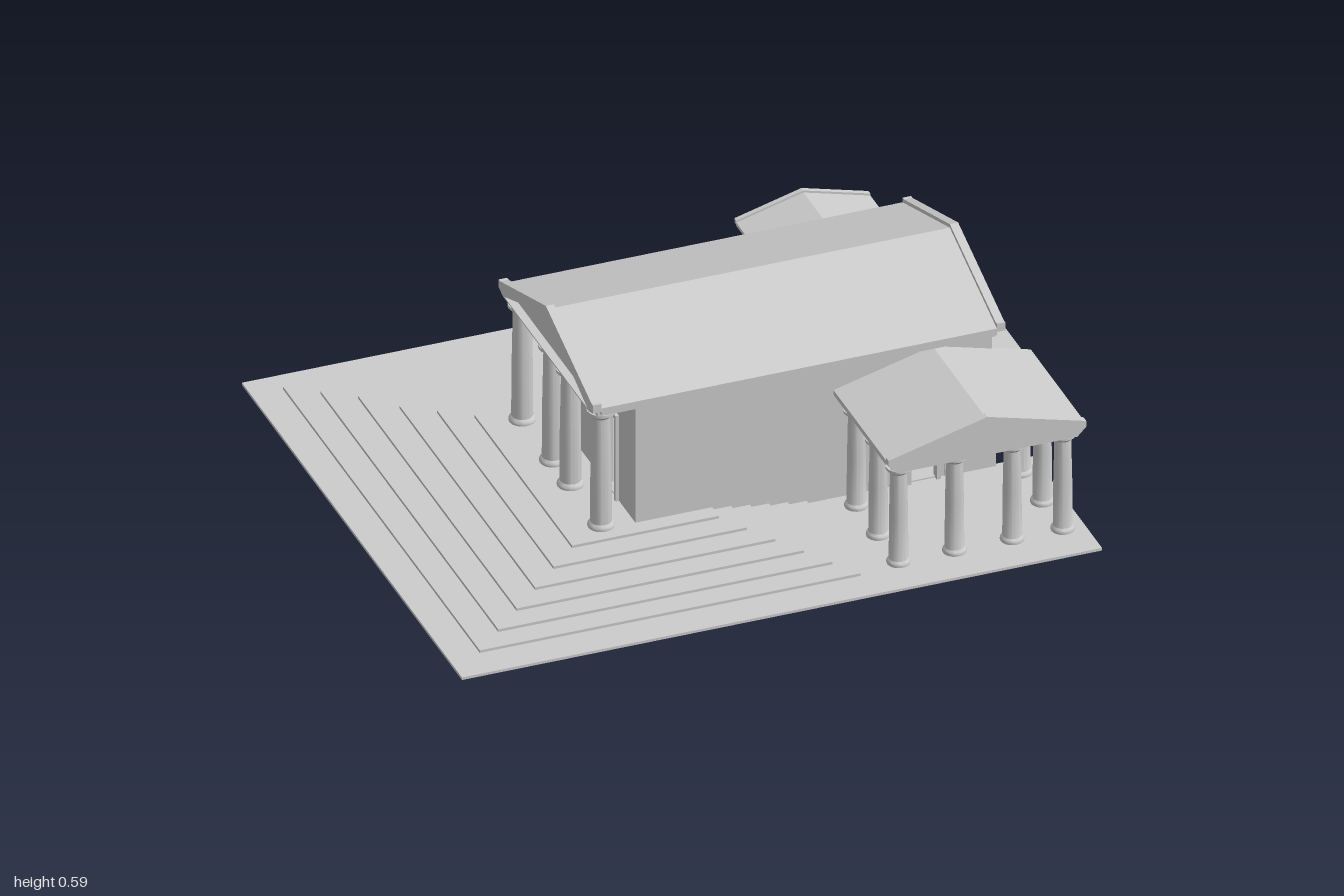
import * as THREE from 'three';
import { toCreasedNormals } from 'three/addons/utils/BufferGeometryUtils.js';

const stone = new THREE.MeshStandardMaterial({ color: 0xcccccc });

function add(parent, name, geometry, x = 0, y = 0, z = 0) {
  const mesh = new THREE.Mesh(geometry, stone);
  mesh.name = name;
  mesh.position.set(x, y, z);
  parent.add(mesh);
  return mesh;
}

// Box given by its lowest and highest corner
function box(parent, name, x0, x1, y0, y1, z0, z1) {
  return add(parent, name, new THREE.BoxGeometry(x1 - x0, y1 - y0, z1 - z0),
    (x0 + x1) / 2, (y0 + y1) / 2, (z0 + z1) / 2);
}

function polygon(points, holes = []) {
  const toVectors = (list) => list.map(([x, y]) => new THREE.Vector2(x, y));
  const shape = new THREE.Shape(toVectors(points));
  for (const hole of holes) shape.holes.push(new THREE.Path(toVectors(hole)));
  return shape;
}

const extrude = (shape, depth) => new THREE.ExtrudeGeometry(shape, { depth, bevelEnabled: false });
const rect = (x0, x1, y0, y1) => [[x0, y0], [x1, y0], [x1, y1], [x0, y1]];

// Horizontal slab from an outline in (x, z)
function slab(parent, name, outline, y, height) {
  const shape = polygon(outline.map(([x, z]) => [x, -z]));
  return add(parent, name, extrude(shape, height).rotateX(-Math.PI / 2), 0, y, 0);
}

// Column with moulded base, tapering shaft and spreading capital
function columnGeometry(h, r) {
  const top = h / r;
  const points = [
    [0, 0], [1.25, 0], [1.28, 0.2], [1.2, 0.4], [1.02, 0.6],
    [0.98, top * 0.5], [0.87, top - 0.75], [1, top - 0.6], [1.35, top - 0.3], [1.35, top], [0, top],
  ].map(([x, y]) => new THREE.Vector2(x * r, y * r));
  return toCreasedNormals(new THREE.LatheGeometry(points, 20), 0.6);
}

function colonnade(parent, name, positions, y, h, r) {
  const group = new THREE.Group();
  group.name = name;
  const geometry = columnGeometry(h, r);
  for (const [x, z] of positions) add(group, 'column', geometry, x, y, z);
  parent.add(group);
}

// Entablature and pitched roof, ridge along local z. A gable closes z1, and z0 too if both is set;
// an open gable is a raking frame around a recessed pediment, a plain one is solid.
function roof(parent, name, { half, z0, z1, band, eave, rise, rim, both, plain }) {
  const group = new THREE.Group();
  group.name = name;
  const inset = half * 0.06;
  const back = both ? z0 + rim : z0;
  const front = z1 - rim;
  box(group, 'architrave', -half + inset, half - inset, 0, band, both ? z0 + inset : z0, z1 - inset);
  box(group, 'cornice', -half, half, band, eave, back, front);
  add(group, 'roofSlopes', extrude(polygon([[-half, eave], [half, eave], [0, rise]]), front - back), 0, 0, back);
  const lip = rim * 0.45;
  const foot = plain ? 0 : band;
  const outline = [[-half * 0.91, foot], [half * 0.91, foot], [half, eave - lip],
    [half, eave + lip], [0, rise + lip], [-half, eave + lip], [-half, eave - lip]];
  const opening = [[-half + rim * 1.7, band + 0.004], [half - rim * 1.7, band + 0.004], [0, rise - rim * 0.6]];
  const gable = extrude(polygon(outline, plain ? [] : [opening]), rim);
  for (const z of both ? [z0, front] : [front]) {
    add(group, 'gable', gable, 0, 0, z);
    if (plain) continue;
    for (const s of [-1, 1]) {
      add(group, 'cornerOrnament', new THREE.BoxGeometry(rim * 0.6, rim * 0.6, rim),
        s * (half - rim * 0.3), eave + rim * 0.3, z + rim / 2);
    }
  }
  parent.add(group);
  return group;
}

// Door surround of three bars, in the local xy plane
function doorFrame(parent, x0, x1, y0, y1, depth) {
  const t = 0.012;
  const shape = polygon([[x0 - t, y0], [x0, y0], [x0, y1], [x1, y1], [x1, y0],
    [x1 + t, y0], [x1 + t, y1 + t], [x0 - t, y1 + t]]);
  return add(parent, 'doorFrame', extrude(shape, depth));
}

export function createModel() {
  const model = new THREE.Group();
  model.name = 'temple';

  // Ground slab, notched beside the east porch
  slab(model, 'groundSlab', [[-1, 0.81], [0.832, 0.81], [0.832, 0.305], [0.7, 0.305], [0.7, -0.06],
    [1, -0.06], [1, -0.81], [-1, -0.81]], 0, 0.008);

  // Terraced steps: the lower three also wrap the rear porch
  const front = [0.71, 0.64, 0.57, 0.5, 0.43, 0.36];
  const rear = [-0.74, -0.67, -0.6, -0.5, -0.43, -0.36];
  for (let k = 0; k < 6; k++) {
    const west = -0.91 + 0.08 * k;
    const frontEnd = 0.18 - 0.054 * k;
    const outline = [[west, front[k]], [frontEnd, front[k]], [frontEnd, 0.3], [-0.29, 0.3], [-0.29, -0.3]];
    if (k < 3) {
      const east = 0.9 - 0.075 * k, end = -0.12 - 0.07 * k;
      outline.push([0.71, -0.3], [0.71, end], [east, end], [east, rear[k]]);
    } else {
      const rearEnd = 0.05 - 0.05 * (k - 3);
      outline.push([rearEnd, -0.3], [rearEnd, rear[k]]);
    }
    outline.push([west, rear[k]]);
    slab(model, 'step', outline, 0.008 + 0.008 * k, 0.008);
  }

  // Hall: long walls with a doorway to each side porch
  const hall = new THREE.Group();
  hall.name = 'hall';
  model.add(hall);
  const longWall = (y0) => extrude(polygon(rect(-0.31, 0.71, 0, 0.42), [rect(0.475, 0.548, y0, 0.206)]), 0.014);
  add(hall, 'frontWall', longWall(0.012), 0, 0, 0.298);
  add(hall, 'rearWall', longWall(0.132), 0, 0, -0.312);
  doorFrame(hall, 0.475, 0.548, 0.008, 0.206, 0.012).position.z = 0.312;
  doorFrame(hall, 0.475, 0.548, 0.13, 0.206, 0.012).position.z = -0.324;

  // Cross walls with paired openings
  const crossWall = (y0, y1) => extrude(polygon(rect(-0.3, 0.3, 0, 0.42),
    [rect(-0.18, -0.1, y0, y1), rect(0.1, 0.18, y0, y1)]), 0.02).rotateY(Math.PI / 2);
  add(hall, 'westWall', crossWall(0.06, 0.31), -0.31, 0, 0);
  add(hall, 'middleWall', crossWall(0.06, 0.31), 0.34, 0, 0);
  add(hall, 'eastWall', crossWall(0.157, 0.225), 0.575, 0, 0);
  for (const s of [-1, 1]) {
    const frame = doorFrame(hall, s * 0.14 - 0.04, s * 0.14 + 0.04, 0.055, 0.31, 0.01);
    frame.rotation.y = Math.PI / 2;
    frame.position.x = -0.32;
  }

  // East porch on a high podium
  box(hall, 'eastPodium', 0.575, 0.72, 0, 0.155, -0.316, 0.316);
  colonnade(model, 'eastColonnade', [0.2, 0.07, -0.06, -0.195].map((z) => [0.685, z]), 0.155, 0.265, 0.022);

  // West porch on the steps
  colonnade(model, 'westColonnade', [-0.29, -0.065, 0.065, 0.29].map((z) => [-0.4, z]), 0.055, 0.365, 0.029);

  // Main roof, ridge along x
  const mainRoof = roof(model, 'mainRoof', {
    half: 0.347, z0: -0.445, z1: 0.735, band: 0.016, eave: 0.037, rise: 0.155, rim: 0.024, both: true, plain: false,
  });
  mainRoof.rotation.y = Math.PI / 2;
  mainRoof.position.y = 0.42;

  // Front porch
  const frontColumns = [0.3, 0.46, 0.625, 0.77].map((x) => [x, 0.68]);
  for (const x of [0.3, 0.77]) frontColumns.push([x, 0.53], [x, 0.37]);
  colonnade(model, 'frontPorchColumns', frontColumns, 0.008, 0.302, 0.026);
  roof(model, 'frontPorchRoof', {
    half: 0.283, z0: 0.308, z1: 0.717, band: 0.02, eave: 0.035, rise: 0.11, rim: 0.02, both: false, plain: true,
  }).position.set(0.54, 0.31, 0);

  // Rear porch on a parapet base
  box(model, 'rearPorchBase', 0.34, 0.69, 0, 0.13, -0.56, -0.305);
  const rearColumns = [0.362, 0.463, 0.565, 0.667].map((x) => [x, -0.54]);
  rearColumns.push([0.362, -0.44], [0.667, -0.475], [0.362, -0.35], [0.667, -0.35]);
  colonnade(model, 'rearPorchColumns', rearColumns, 0.13, 0.205, 0.017);
  const rearRoof = roof(model, 'rearPorchRoof', {
    half: 0.192, z0: 0.305, z1: 0.583, band: 0.01, eave: 0.02, rise: 0.072, rim: 0.014, both: false, plain: true,
  });
  rearRoof.rotation.y = Math.PI;
  rearRoof.position.set(0.513, 0.333, 0);

  return model;
}
